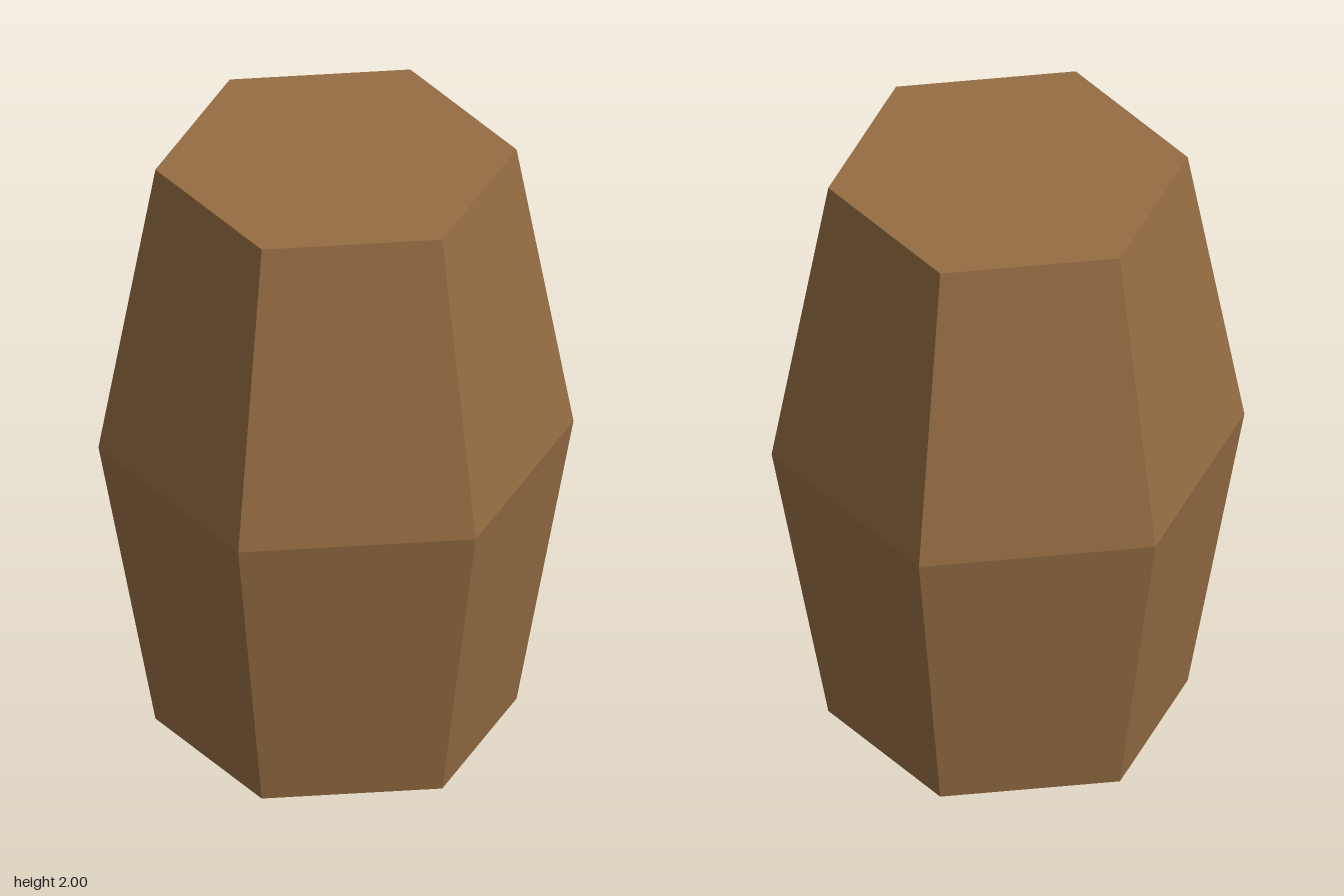
import * as THREE from 'three';

export function createModel() {
  const group = new THREE.Group();
  group.name = 'barrel';

  const wood = new THREE.MeshStandardMaterial({ color: 0x966d43, flatShading: true });
  wood.name = 'wood brown';

  const endRadius = 0.555, middleRadius = 0.73, height = 2, sides = 6;

  // Bulging six-sided staves, widest at mid height, corners on the x axis
  function half(name, bottomRadius, topRadius, y) {
    const geometry = new THREE.CylinderGeometry(
      topRadius, bottomRadius, height / 2, sides, 1, true, Math.PI / 6);
    const mesh = new THREE.Mesh(geometry, wood);
    mesh.name = name;
    mesh.position.y = y;
    group.add(mesh);
  }
  half('lowerStaves', endRadius, middleRadius, height / 4);
  half('upperStaves', middleRadius, endRadius, height * 3 / 4);

  // Flat hexagonal ends
  function end(name, y, tilt) {
    const mesh = new THREE.Mesh(new THREE.CircleGeometry(endRadius, sides), wood);
    mesh.name = name;
    mesh.rotation.x = tilt;
    mesh.position.y = y;
    group.add(mesh);
  }
  end('lid', height, -Math.PI / 2);
  end('base', 0, Math.PI / 2);

  return group;
}
